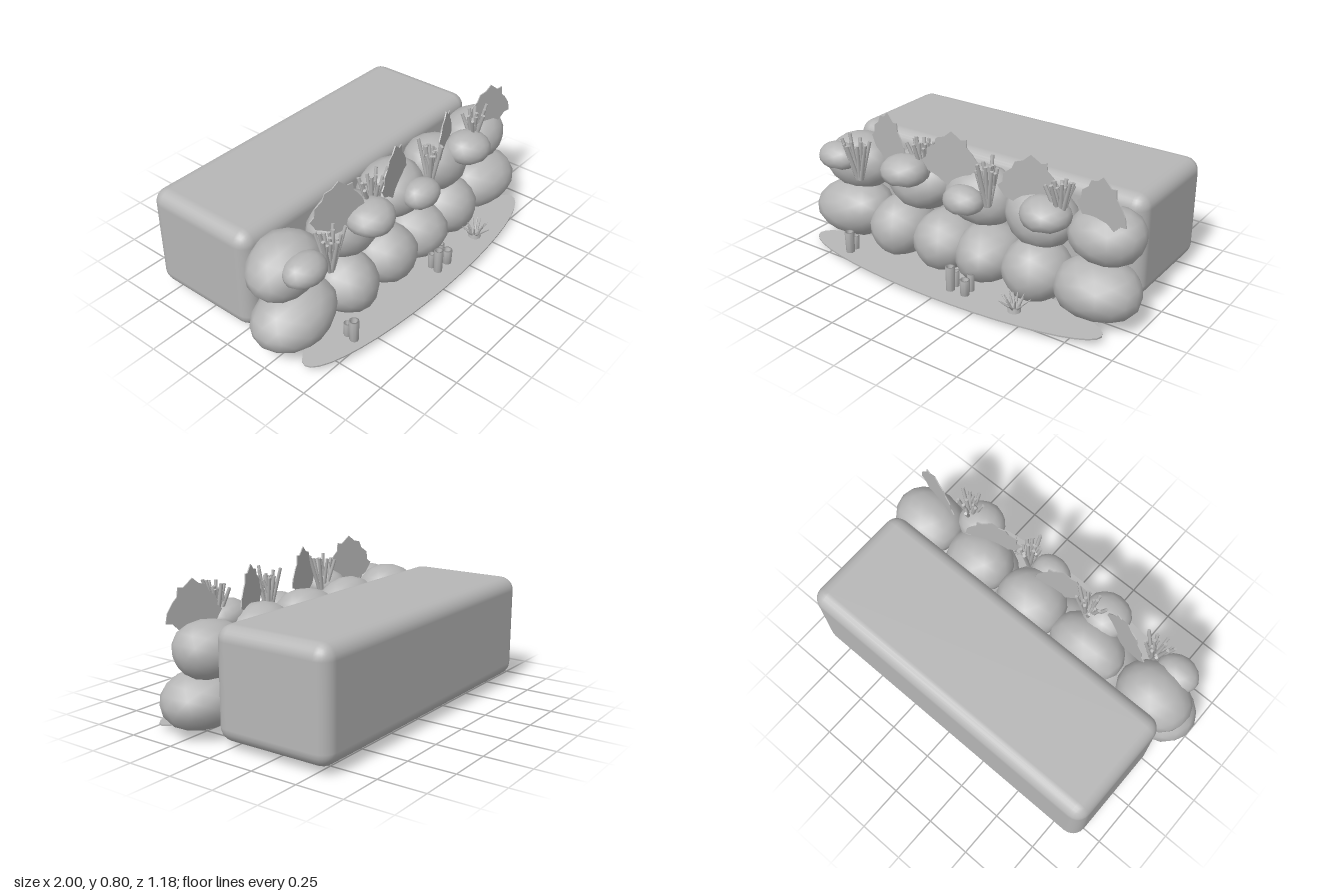
import * as THREE from 'three';
import { mergeVertices } from 'three/addons/utils/BufferGeometryUtils.js';
import { RoundedBoxGeometry } from 'three/addons/geometries/RoundedBoxGeometry.js';

export function createModel() {
  const model = new THREE.Group();
  model.name = 'reef';
  const stone = new THREE.MeshStandardMaterial({ color: 0xb6b6b6 });
  stone.name = 'stone grey';

  let seed = 7;
  const rand = (a, b) => {
    seed = (seed * 16807) % 2147483647;
    return a + (b - a) * seed / 2147483647;
  };
  const add = (parent, name, geometry, x = 0, y = 0, z = 0) => {
    const mesh = new THREE.Mesh(geometry, stone);
    mesh.name = name;
    mesh.position.set(x, y, z);
    parent.add(mesh);
    return mesh;
  };
  const group = (name, x = 0, y = 0, z = 0) => {
    const g = new THREE.Group();
    g.name = name;
    g.position.set(x, y, z);
    model.add(g);
    return g;
  };

  // Lumpy smooth stone; floor cuts the underside flat
  function lump(rx, ry, rz, rough, floor = -2) {
    let geo = new THREE.IcosahedronGeometry(1, 2);
    geo.deleteAttribute('uv');
    geo.deleteAttribute('normal');
    geo = mergeVertices(geo, 1e-4);
    const p = geo.attributes.position, v = new THREE.Vector3();
    const a = rand(0, 6), b = rand(0, 6), c = rand(0, 6);
    for (let i = 0; i < p.count; i++) {
      v.fromBufferAttribute(p, i);
      const wave = Math.sin(v.x * 2.6 + a) * Math.sin(v.y * 2.9 + b) + Math.sin(v.z * 3.1 + c) * 0.5;
      v.multiplyScalar(1 + rough * wave);
      p.setXYZ(i, v.x * rx, Math.max(v.y, floor) * ry, v.z * rz);
    }
    geo.computeVertexNormals();
    return geo;
  }

  // Round-edged block behind the reef
  add(model, 'backBlock', new RoundedBoxGeometry(1.8, 0.565, 0.65, 3, 0.075), 0, 0.322, -0.265);

  // Two rows of stones: x, y, z, rx, ry, rz
  const rocks = group('rocks');
  [
    [-0.765, 0.185, 0.24, 0.235, 0.155, 0.19],
    [-0.42, 0.175, 0.25, 0.17, 0.165, 0.195],
    [-0.12, 0.18, 0.25, 0.18, 0.16, 0.19],
    [0.14, 0.18, 0.25, 0.175, 0.16, 0.19],
    [0.43, 0.18, 0.25, 0.175, 0.16, 0.19],
    [0.77, 0.18, 0.24, 0.23, 0.155, 0.19],
  ].forEach(([x, y, z, ...r]) => add(rocks, 'lowerRock', lump(...r, 0.05), x, y, z));
  [
    [-0.76, 0.445, 0.18, 0.21, 0.16, 0.165],
    [-0.335, 0.44, 0.18, 0.21, 0.16, 0.165],
    [0.05, 0.45, 0.18, 0.205, 0.16, 0.165],
    [0.41, 0.44, 0.18, 0.195, 0.16, 0.165],
    [0.78, 0.445, 0.18, 0.205, 0.15, 0.165],
  ].forEach(([x, y, z, ...r]) => add(rocks, 'upperRock', lump(...r, 0.05), x, y, z));

  // Flat-bottomed domes on the upper stones
  const domes = group('domeCorals');
  [
    [-0.785, 0.51, 0.335, 0.12, 0.08, 0.095],
    [-0.32, 0.545, 0.335, 0.132, 0.09, 0.122],
    [0.06, 0.487, 0.355, 0.113, 0.08, 0.088],
    [0.515, 0.53, 0.325, 0.132, 0.09, 0.118],
  ].forEach(([x, y, z, ...r]) => add(domes, 'domeCoral', lump(...r, 0.035, -0.55), x, y, z));

  // Tapered stick between two points
  const UP = new THREE.Vector3(0, 1, 0);
  function stick(parent, name, from, to, r0, r1) {
    const d = to.clone().sub(from), m = from.clone().add(to).multiplyScalar(0.5);
    const mesh = add(parent, name, new THREE.CylinderGeometry(r1, r0, d.length(), 6), m.x, m.y, m.z);
    mesh.quaternion.setFromUnitVectors(UP, d.normalize());
  }

  // Branching corals: base x, y, z, height, half spread in x and z
  [
    [-0.63, 0.42, 0.35, 0.25, 0.09, 0.08],
    [-0.24, 0.51, 0.28, 0.23, 0.1, 0.07],
    [0.185, 0.48, 0.32, 0.25, 0.05, 0.09],
    [0.59, 0.54, 0.31, 0.2, 0.075, 0.08],
  ].forEach(([x, y, z, h, sx, sz]) => {
    const coral = group('branchCoral', x, y, z);
    for (let i = 0; i < 10; i++) {
      const t = i * 2.4, s = Math.sqrt((i + 0.7) / 10);
      const tip = new THREE.Vector3(Math.cos(t) * s * sx, h * rand(0.75, 1), Math.sin(t) * s * sz);
      const root = new THREE.Vector3(tip.x * 0.15, 0, tip.z * 0.15);
      stick(coral, 'branch', root, tip, 0.012, 0.009);
      if (i % 2) {
        const fork = root.clone().lerp(tip, 0.55);
        const end = fork.clone().add(new THREE.Vector3(rand(-0.025, 0.025), h * 0.3, rand(-0.025, 0.025)));
        stick(coral, 'twig', fork, end, 0.009, 0.008);
      }
    }
  });

  // Jagged upright fans: x, base y, z, turn
  const outline = [
    [-0.02, 0], [0.02, 0], [0.08, 0.045], [0.12, 0.085], [0.155, 0.09], [0.145, 0.14],
    [0.115, 0.185], [0.09, 0.21], [0.085, 0.255], [0.055, 0.25], [0.005, 0.29],
    [-0.03, 0.26], [-0.07, 0.25], [-0.085, 0.215], [-0.125, 0.185], [-0.13, 0.14],
    [-0.155, 0.12], [-0.12, 0.065], [-0.07, 0.04],
  ].map(([x, y]) => new THREE.Vector2(x, y));
  const fanGeo = new THREE.ExtrudeGeometry(new THREE.Shape(outline), { depth: 0.006, bevelEnabled: false });
  fanGeo.translate(0, 0, -0.003);
  [
    [-0.485, 0.515, 0.27, -0.28],
    [-0.07, 0.51, 0.282, 0.27],
    [0.385, 0.49, 0.262, 0.38],
    [0.785, 0.485, 0.272, -0.25],
  ].forEach(([x, y, z, turn]) => {
    add(model, 'fanCoral', fanGeo, x, y, z).rotation.y = turn;
  });

  // Thin oval sand bed
  const bed = add(model, 'sandBed', new THREE.CylinderGeometry(1, 1, 0.008, 40), 0, 0.044, 0.412);
  bed.scale.set(0.895, 1, 0.175);
  bed.rotation.x = 0.04;

  // Hollow tube sponges: x, z, radius, height
  [
    [-0.612, 0.475, 0.026, 0.12], [-0.61, 0.432, 0.02, 0.08],
    [0.068, 0.48, 0.025, 0.135], [0.07, 0.435, 0.019, 0.09],
    [0.155, 0.475, 0.027, 0.085], [0.158, 0.43, 0.02, 0.1],
  ].forEach(([x, z, r, h]) => {
    const profile = [[0, 0], [r * 0.9, 0], [r, h], [r * 0.65, h], [r * 0.55, h * 0.4], [0, h * 0.4]]
      .map(([a, b]) => new THREE.Vector2(a, b));
    const wall = new THREE.LatheGeometry(profile, 10);
    add(model, 'tubeSponge', wall, x, 0.042, z);
  });

  // Spiky anemone
  const anemone = group('anemone', 0.44, 0.045, 0.46);
  add(anemone, 'anemoneBase', new THREE.CylinderGeometry(0.03, 0.035, 0.03, 10), 0, 0.015, 0);
  for (let i = 0; i < 14; i++) {
    const t = i * Math.PI / 7, s = i % 2 ? 0.08 : 0.05;
    const dir = new THREE.Vector3(Math.cos(t), 0, Math.sin(t));
    stick(anemone, 'tentacle', dir.clone().multiplyScalar(0.02).setY(0.02),
      dir.clone().multiplyScalar(s).setY(i % 2 ? 0.07 : 0.088), 0.008, 0.002);
  }

  return model;
}
